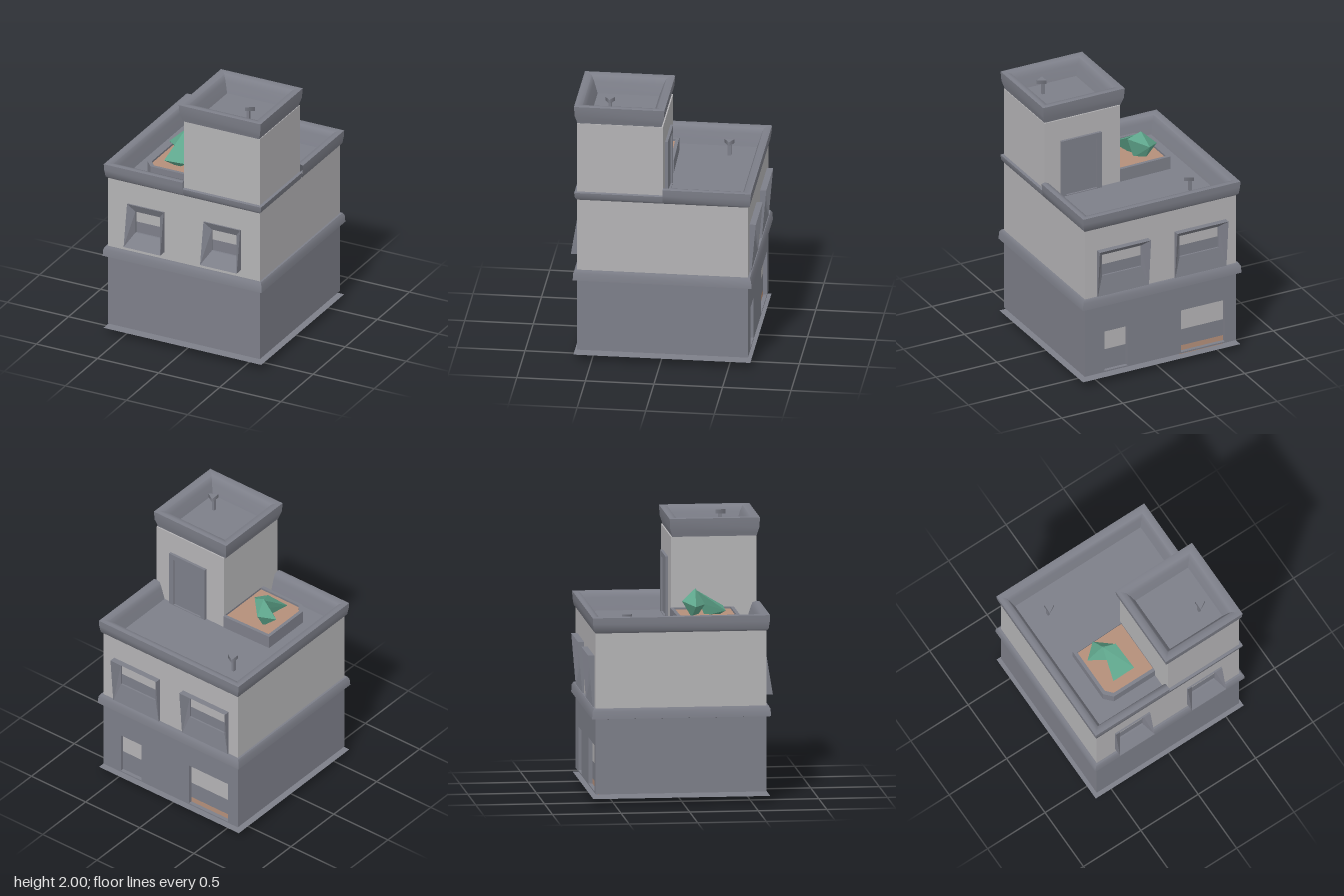
import * as THREE from 'three';
import { toCreasedNormals } from 'three/addons/utils/BufferGeometryUtils.js';
import { ConvexGeometry } from 'three/addons/geometries/ConvexGeometry.js';

const material = (name, color, extra) => Object.assign(new THREE.MeshStandardMaterial({ color, ...extra }), { name });
const X = 0.62, F = 0.605, B = -0.64, T = 0.04; // wall planes and thickness

export function createModel() {
  const house = new THREE.Group();
  house.name = 'house';
  const plaster = material('plaster', 0xb4b3b5);
  const stone = material('stone', 0x7d7f89, { side: THREE.DoubleSide });
  const clay = material('clay', 0xb48f7a);
  const leaf = material('leaf', 0x5fa68c, { flatShading: true });

  const add = (name, geometry, mat, parent = house) => {
    const mesh = new THREE.Mesh(geometry, mat);
    mesh.name = name;
    parent.add(mesh);
    return mesh;
  };
  // box given by its limits
  const box = (name, mat, x0, x1, y0, y1, z0, z1, parent) => {
    const g = new THREE.BoxGeometry(x1 - x0, y1 - y0, z1 - z0);
    g.translate((x0 + x1) / 2, (y0 + y1) / 2, (z0 + z1) / 2);
    return add(name, g, mat, parent);
  };
  const rect = (C, [x0, x1, y0, y1]) => new C().moveTo(x0, y0).lineTo(x1, y0).lineTo(x1, y1).lineTo(x0, y1).closePath();

  // sweep a [distance out, height] profile along a path of [x, z, outward x, outward z]
  const sweep = (name, mat, path, profile, closed) => {
    const at = (i, j) => {
      const [x, z, nx, nz] = path[i % path.length], [d, y] = profile[j];
      return [x + nx * d, y, z + nz * d];
    };
    const v = [];
    for (let i = 0; i < path.length - (closed ? 0 : 1); i++)
      for (let j = 0; j < profile.length - 1; j++) {
        const a = at(i, j), b = at(i + 1, j), c = at(i + 1, j + 1), d = at(i, j + 1);
        v.push(...a, ...d, ...c, ...a, ...c, ...b);
      }
    const g = new THREE.BufferGeometry();
    g.setAttribute('position', new THREE.Float32BufferAttribute(v, 3));
    return add(name, toCreasedNormals(g, 0.9), mat);
  };
  const ring = (x0, x1, z0, z1) => [[x0, z1, -1, 1], [x0, z0, -1, -1], [x1, z0, 1, -1], [x1, z1, 1, 1]];

  // base slab with a shallow pyramid underneath
  add('base', new ConvexGeometry([[-0.645, 0.05, 0.63], [0.645, 0.05, 0.63], [0.645, 0.05, -0.66],
    [-0.645, 0.05, -0.66], [0, 0, 0]].map(p => new THREE.Vector3(...p))), stone);

  // wall panel with holes; the outer face lies on local z = 0
  const facade = (name, mat, y0, y1, holes, back) => {
    const group = new THREE.Group();
    group.name = name;
    group.position.z = back ? B : F;
    group.rotation.y = back ? Math.PI : 0;
    const shape = rect(THREE.Shape, [-X, X, y0, y1]);
    holes.forEach(h => shape.holes.push(rect(THREE.Path, h)));
    const g = new THREE.ExtrudeGeometry(shape, { depth: T, bevelEnabled: false });
    add(name + 'Panel', g.translate(0, 0, -T), mat, group);
    house.add(group);
    return group;
  };
  // funnel-shaped window frame: proud outer edge, recessed inner edge
  const windowUnit = (parent, outer, inner, proudBottom, proudTop) => {
    const [x0, x1, y0, y1] = outer, [a, b, c, d] = inner;
    const shape = rect(THREE.Shape, outer);
    shape.holes.push(rect(THREE.Path, inner));
    const g = new THREE.ExtrudeGeometry(shape, { depth: 1, bevelEnabled: false });
    const p = g.attributes.position;
    for (let i = 0; i < p.count; i++) {
      const x = p.getX(i), y = p.getY(i), front = p.getZ(i) > 0.5;
      const edge = x < x0 + 1e-4 || x > x1 - 1e-4 || y < y0 + 1e-4 || y > y1 - 1e-4;
      const proud = THREE.MathUtils.lerp(proudBottom, proudTop, (y - y0) / (y1 - y0));
      p.setZ(i, front ? (edge ? proud : -0.015) : (edge ? 0 : -0.03));
    }
    g.computeVertexNormals();
    add('windowFrame', g, stone, parent);
    const mid = (c + d) / 2;
    box('windowPaneLower', stone, a - 0.01, b + 0.01, c - 0.01, mid, -0.035, -0.028, parent);
    box('windowPaneUpper', plaster, a - 0.01, b + 0.01, mid, d + 0.01, -0.035, -0.028, parent);
  };
  const inset = ([a, b, c, d], t) => [a + t, b - t, c + t, d - t];

  // ground floor, with a door and a garage opening at the back
  const door = [-0.46, -0.27, 0.09, 0.41], garage = [0.17, 0.53, 0.09, 0.43];
  facade('groundFront', stone, 0.08, 0.68, []);
  const groundBack = facade('groundBack', stone, 0.08, 0.68, [door, garage], true);
  box('doorLower', stone, door[0], door[1], 0.09, 0.25, -0.035, -0.028, groundBack);
  box('doorUpper', plaster, door[0], door[1], 0.25, 0.41, -0.035, -0.028, groundBack);
  [[clay, 0.06, 0.13], [stone, 0.13, 0.26], [plaster, 0.26, 0.43]].forEach(([m, y0, y1]) =>
    box('garageDoorStripe', m, garage[0], garage[1], y0, y1, -0.035, -0.028, groundBack));

  // upper floor with two windows front and back
  const frontWins = [-0.31, 0.315].map(c => [c - 0.15, c + 0.15, 0.765, 1.09]);
  const backWins = [-0.31, 0.325].map(c => [c - 0.21, c + 0.21, 0.7, 1.085]);
  const upperFront = facade('upperFront', plaster, 0.68, 1.26, frontWins.map(w => inset(w, 0.02)));
  const upperBack = facade('upperBack', plaster, 0.68, 1.26, backWins.map(w => inset(w, 0.02)), true);
  frontWins.forEach(w => windowUnit(upperFront, w, [w[0] + 0.055, w[1] - 0.045, 0.86, 1.03], 0.065, 0.012));
  backWins.forEach(w => windowUnit(upperBack, w, [w[0] + 0.05, w[1] - 0.05, 0.86, 1.03], 0.012, 0.045));

  // plain side walls
  for (const s of [-1, 1]) {
    const x0 = s > 0 ? X - T : -X, x1 = x0 + T;
    box('groundSide', stone, x0, x1, 0.08, 0.68, B + T, F - T);
    box('upperSide', plaster, x0, x1, 0.68, 1.26, B + T, F - T);
  }

  // belt course between the floors
  sweep('beltCourse', stone, ring(-X, X, B, F), [[0, 0.63], [0.03, 0.635], [0.026, 0.69], [0.015, 0.71], [0, 0.71]], true);

  // roof deck, parapet and the lower ledge under the tower
  box('roofDeck', stone, -X + T, X - T, 1.2, 1.24, B + T, F - T);
  sweep('parapet', stone, [[0, F, 0, 1], [-X, F, -1, 1], [-X, B, -1, -1], [X, B, 1, -1], [X, -0.02, 1, 0]],
    [[0, 1.26], [0.014, 1.275], [0.022, 1.33], [0.024, 1.375], [0, 1.38], [-0.03, 1.37], [-0.045, 1.33], [-0.075, 1.235]]);
  sweep('towerLedge', stone, [[X, -0.02, 1, 0], [X, F, 1, 1], [0, F, 0, 1]],
    [[0, 1.26], [0.015, 1.28], [0.02, 1.32], [0, 1.325]]);

  // stair tower with its own parapet
  box('tower', plaster, 0, X, 1.24, 1.86, -0.02, F);
  box('towerDeck', stone, 0.01, X - 0.01, 1.86, 1.87, -0.01, F - 0.01);
  sweep('towerParapet', stone, ring(-0.01, X - 0.005, -0.01, F),
    [[0, 1.86], [0.005, 1.88], [0.017, 1.92], [0.022, 1.995], [0, 2], [-0.035, 1.99], [-0.055, 1.95], [-0.085, 1.865]], true);

  // tower door and its surround
  const surround = rect(THREE.Shape, [0.16, 0.49, 1.24, 1.69]);
  surround.holes.push(rect(THREE.Path, [0.2, 0.45, 1.245, 1.65]));
  add('towerDoorFrame', new THREE.ExtrudeGeometry(surround, { depth: 0.02, bevelEnabled: false }), stone).position.z = -0.04;
  box('towerDoor', stone, 0.2, 0.45, 1.24, 1.65, -0.026, -0.019);

  // planter with a clipped outer corner
  const bed = (o) => new THREE.Shape([[0, 0 - o], [0, 0.415 + o], [-0.345 - o * 0.6, 0.415 + o],
    [-0.39 - o, 0.365 + o * 0.6], [-0.39 - o, 0.01 - o]].map(([x, z]) => new THREE.Vector2(x, -z)));
  const kerb = bed(0.025);
  kerb.holes.push(bed(0));
  const layer = (name, shape, mat, y, depth) => {
    const g = new THREE.ExtrudeGeometry(shape, { depth, bevelEnabled: false });
    add(name, g.rotateX(-Math.PI / 2), mat).position.y = y;
  };
  layer('planterKerb', kerb, stone, 1.24, 0.1);
  layer('planterSoil', bed(0), clay, 1.24, 0.085);

  // shrub made of two faceted lobes
  [[[-0.375, 1.4, 0.12], [-0.27, 1.43, 0.03], [-0.25, 1.52, 0.13], [-0.15, 1.47, 0.15], [-0.25, 1.4, 0.2], [-0.27, 1.31, 0.1], [-0.2, 1.31, 0.15]],
    [[-0.25, 1.51, 0.13], [-0.15, 1.48, 0.15], [-0.25, 1.4, 0.2], [-0.12, 1.37, 0.345], [-0.3, 1.36, 0.345], [-0.22, 1.31, 0.2], [-0.2, 1.31, 0.3]]]
    .forEach(pts => add('shrubLobe', new ConvexGeometry(pts.map(p => new THREE.Vector3(...p))), leaf));

  // small roof vents: a post with a wedge-shaped cap
  for (const [x, y, z] of [[-0.37, 1.24, -0.385], [0.425, 1.87, 0.39]]) {
    box('ventPost', stone, x - 0.02, x, y, y + 0.1, z - 0.012, z + 0.012);
    add('ventCap', new THREE.CylinderGeometry(0.042, 0.042, 0.03, 3).rotateY(Math.PI / 2), stone).position.set(x, y + 0.105, z);
  }
  return house;
}
